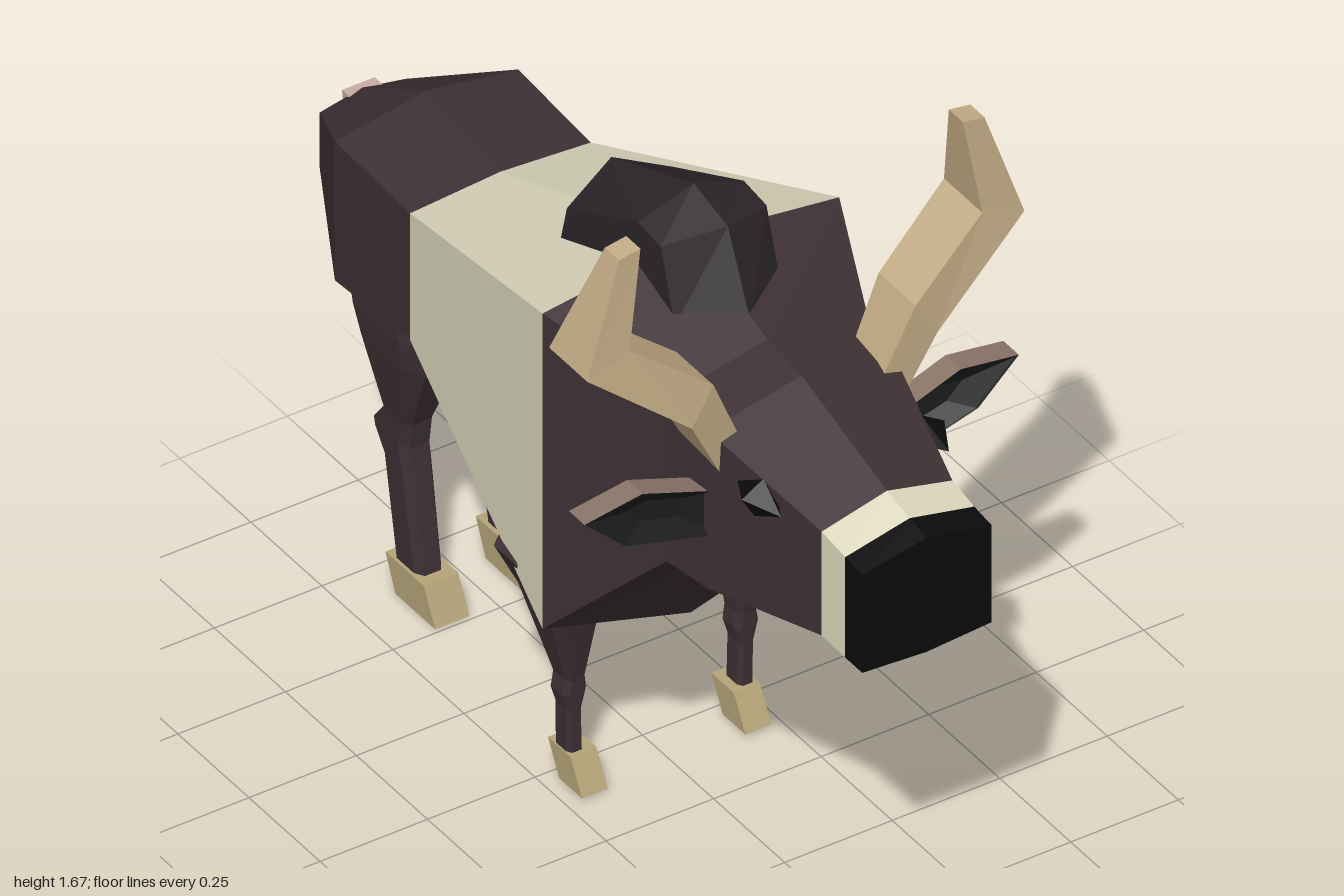
import * as THREE from 'three';

const mat = (color) => new THREE.MeshStandardMaterial({ color, flatShading: true });
const HIDE = mat(0x3d3034), SADDLE = mat(0xdedac0), DARK = mat(0x2b2529), BLACK = mat(0x0b0b0b);
const HORN = mat(0xc4ad86), HOOF = mat(0xb5a478), TAIL = mat(0xc8aca6), EAR = mat(0x1c1e1e), RIM = mat(0x8a7468);

// Skin a row of equal-length point loops; faces are turned outward automatically.
function loft(name, material, loops, capStart = true, capEnd = true) {
  const tris = [];
  const n = loops[0].length;
  for (let i = 0; i + 1 < loops.length; i++) {
    for (let j = 0; j < n; j++) {
      const k = (j + 1) % n, a = loops[i], b = loops[i + 1];
      tris.push([a[j], a[k], b[k]], [a[j], b[k], b[j]]);
    }
  }
  const last = loops[loops.length - 1];
  for (let j = 1; j + 1 < n; j++) {
    if (capStart) tris.push([loops[0][0], loops[0][j + 1], loops[0][j]]);
    if (capEnd) tris.push([last[0], last[j], last[j + 1]]);
  }
  const all = loops.flat().map((p) => new THREE.Vector3(...p));
  const mid = all.reduce((m, p) => m.add(p), new THREE.Vector3()).divideScalar(all.length);
  let volume = 0;
  for (const t of tris) {
    const [a, b, c] = t.map((p) => new THREE.Vector3(...p).sub(mid));
    volume += a.dot(b.cross(c));
  }
  if (volume < 0) tris.forEach((t) => t.reverse());
  const geometry = new THREE.BufferGeometry();
  geometry.setAttribute('position', new THREE.Float32BufferAttribute(tris.flat(2), 3));
  geometry.computeVertexNormals();
  const mesh = new THREE.Mesh(geometry, material);
  mesh.name = name;
  return mesh;
}

// Six-sided body section with a ridge above and a keel below.
const ring = ([z, w, ridge, top, bottom, keel]) => [
  [0, ridge, z], [w, top, z], [w, bottom, z], [0, keel, z], [-w, bottom, z], [-w, top, z],
];

// Horizontal leg section, beveled to eight sides; s mirrors it.
const legRing = (s) => ([y, x0, x1, z0, z1]) => {
  const cx = (x0 + x1) / 2, cz = (z0 + z1) / 2, hx = (x1 - x0) / 2, hz = (z1 - z0) / 2;
  return [[-1, -0.6], [-0.6, -1], [0.6, -1], [1, -0.6], [1, 0.6], [0.6, 1], [-0.6, 1], [-1, 0.6]]
    .map(([u, v]) => [s * (cx + u * hx), y, cz + v * hz]);
};

// Plain rectangular section at height y.
const boxRing = (s) => ([y, x0, x1, z0, z1]) =>
  [[s * x0, y, z0], [s * x1, y, z0], [s * x1, y, z1], [s * x0, y, z1]];

export function createModel() {
  const model = new THREE.Group();
  model.name = 'ox';

  // Trunk and head: z, half width, ridge, upper side, lower side, keel
  const body = [
    [1.0, 0.15, 1.09, 1.06, 0.825, 0.815],
    [0.94, 0.15, 1.1, 1.067, 0.825, 0.812],
    [0.86, 0.152, 1.117, 1.08, 0.83, 0.805],
    [0.56, 0.218, 1.21, 1.165, 0.785, 0.757],
    [0.44, 0.235, 1.225, 1.175, 0.785, 0.755],
    [0.17, 0.345, 1.305, 1.26, 0.5, 0.4],
    [-0.5, 0.21, 1.05, 1.035, 0.73, 0.69],
    [-0.76, 0.213, 1.085, 1.05, 0.715, 0.69],
    [-0.985, 0.1, 0.955, 0.935, 0.805, 0.785],
  ].map(ring);
  model.add(
    loft('muzzle', BLACK, body.slice(0, 2), true, false),
    loft('muzzleBand', SADDLE, body.slice(1, 3), false, false),
    loft('headAndShoulders', HIDE, body.slice(2, 6), false, false),
    loft('saddle', SADDLE, body.slice(5, 7), false, false),
    loft('rump', HIDE, body.slice(6), false, true),
  );

  // Hump: side outline, ridge outline, side outline
  const flank = [[0.3, 1.22], [0.25, 1.38], [0.17, 1.39], [-0.08, 1.27], [-0.11, 1.15]];
  const crest = [[0.38, 1.23], [0.3, 1.41], [0.18, 1.44], [-0.11, 1.325], [-0.155, 1.17]];
  const at = (x, outline) => outline.map(([z, y]) => [x, y, z]);
  model.add(loft('hump', DARK, [at(-0.123, flank), at(0, crest), at(0.123, flank)]));

  for (const s of [1, -1]) {
    const side = s > 0 ? 'left' : 'right';

    // Horn: inner x, y, outer x, y, back z, front z
    const horn = [
      [0.165, 1.15, 0.21, 1.08, 0.48, 0.59],
      [0.235, 1.31, 0.285, 1.225, 0.475, 0.605],
      [0.41, 1.445, 0.508, 1.41, 0.44, 0.575],
      [0.375, 1.668, 0.425, 1.66, 0.51, 0.56],
    ].map(([ax, ay, bx, by, z0, z1]) =>
      [[s * ax, ay, z0], [s * bx, by, z0], [s * bx, by, z1], [s * ax, ay, z1]]);
    model.add(loft(side + 'Horn', HORN, horn));

    // Ear: pale rim, dark inner face and dark bulging back
    const outline = [[0.19, 0.905], [0.41, 0.965], [0.505, 1.055], [0.37, 1.075], [0.19, 1.01]];
    const earAt = (z, k = 1) => outline.map(([x, y]) =>
      [s * (0.32 + (x - 0.32) * k), 1 + (y - 1) * k, z]);
    const ear = new THREE.Group();
    ear.name = side + 'Ear';
    ear.add(
      loft('earRim', RIM, [earAt(0.505), earAt(0.56)], false, false),
      loft('earInner', EAR, [earAt(0.56), earAt(0.558, 0.95), earAt(0.53, 0.4)], false, true),
      loft('earBack', EAR, [earAt(0.505), earAt(0.478, 0.35)], false, true),
    );
    // The inner face is a hollow seen from the front
    ear.children[1].material = EAR.clone();
    ear.children[1].material.side = THREE.DoubleSide;
    model.add(ear);

    // Eye
    const eye = new THREE.Mesh(new THREE.OctahedronGeometry(1), BLACK);
    eye.name = side + 'Eye';
    eye.scale.set(0.042, 0.042, 0.078);
    eye.position.set(s * 0.195, 1.085, 0.705);
    eye.rotation.z = s * 0.25;
    model.add(eye);

    // Front leg: y, inner x, outer x, back z, front z
    const frontLeg = [
      [0.08, 0.18, 0.217, 0.012, 0.07],
      [0.185, 0.183, 0.217, 0.012, 0.07],
      [0.225, 0.172, 0.228, 0.008, 0.074],
      [0.26, 0.176, 0.222, 0.01, 0.074],
      [0.48, 0.15, 0.285, -0.04, 0.125],
      [0.57, 0.19, 0.325, -0.055, 0.06],
    ].map(legRing(s));
    model.add(loft(side + 'FrontLeg', HIDE, frontLeg));
    model.add(loft(side + 'FrontHoof', HOOF, [
      [0.01, 0.16, 0.22, 0.04, 0.12], [0.085, 0.16, 0.22, 0.0, 0.08],
    ].map(boxRing(s))));

    // Hind leg
    const hindLeg = [
      [0.075, 0.075, 0.138, -0.675, -0.575],
      [0.31, 0.072, 0.14, -0.715, -0.615],
      [0.36, 0.07, 0.142, -0.752, -0.622],
      [0.42, 0.07, 0.145, -0.705, -0.615],
      [0.6, 0.05, 0.18, -0.765, -0.53],
      [0.67, 0.045, 0.19, -0.785, -0.52],
      [0.75, 0.06, 0.19, -0.74, -0.53],
    ].map(legRing(s));
    model.add(loft(side + 'HindLeg', HIDE, hindLeg));
    model.add(loft(side + 'HindHoof', HOOF, [
      [0, 0.065, 0.145, -0.65, -0.51], [0.08, 0.065, 0.145, -0.685, -0.55],
    ].map(boxRing(s))));
  }

  // Tail with dark tuft
  model.add(
    loft('tail', TAIL, [
      [0.955, -0.038, 0.038, -1, -0.965], [0.8, -0.026, 0.026, -0.995, -0.965],
      [0.54, -0.014, 0.014, -0.985, -0.968],
    ].map(boxRing(1))),
    loft('tailTuft', DARK, [
      [0.54, -0.018, 0.018, -0.987, -0.965], [0.485, -0.016, 0.016, -0.986, -0.966],
    ].map(boxRing(1))),
  );
  return model;
}
